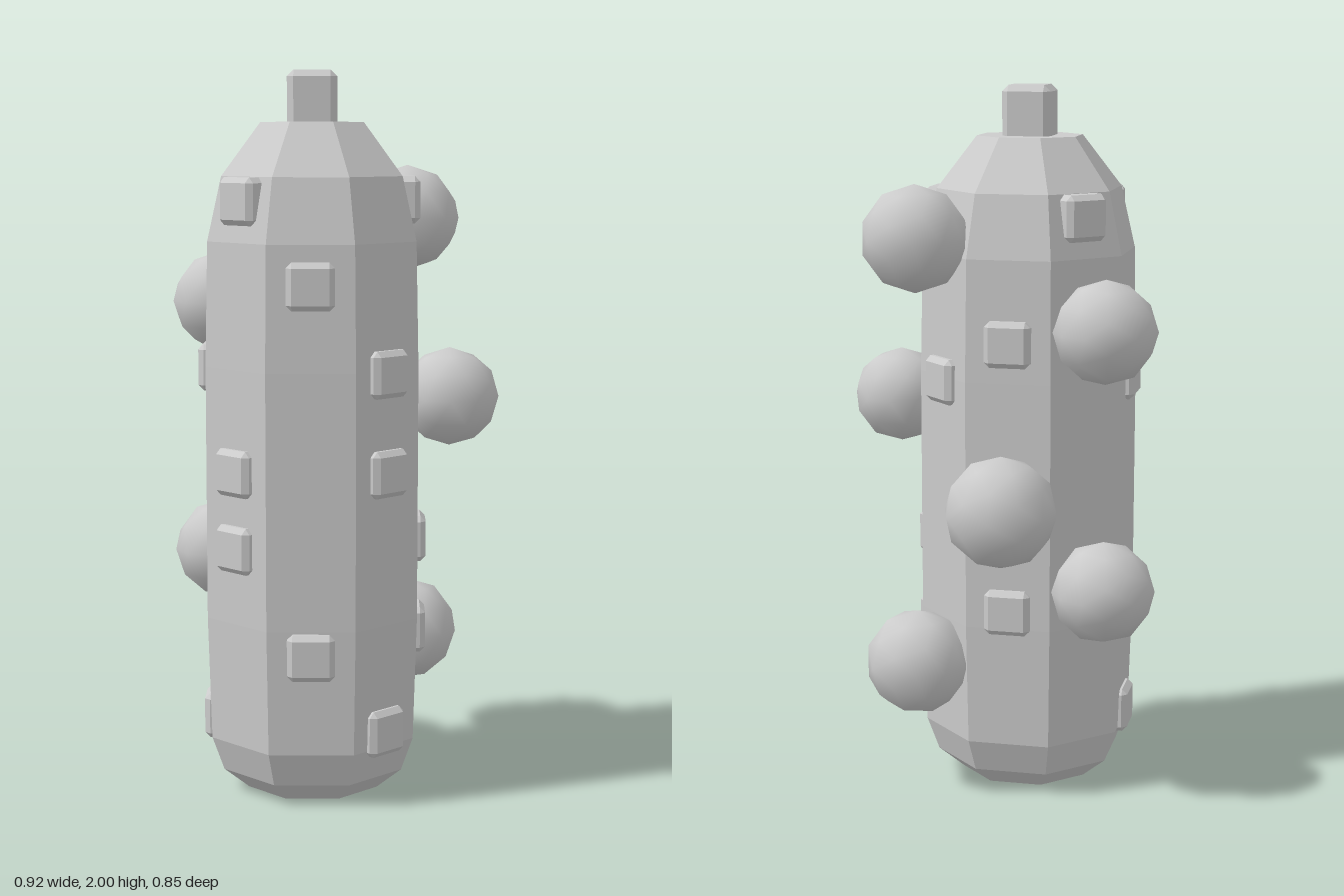
import * as THREE from 'three';
import { ConvexGeometry } from 'three/addons/geometries/ConvexGeometry.js';

const CX = -0.055, CZ = 0.108; // axis of the body

// box with single flat chamfers on every edge
function chamferBox(w, h, d, c) {
  const pts = [];
  for (const x of [-1, 1]) for (const y of [-1, 1]) for (const z of [-1, 1]) {
    const a = x * w / 2, b = y * h / 2, e = z * d / 2;
    pts.push(
      new THREE.Vector3(a, b - y * c, e - z * c),
      new THREE.Vector3(a - x * c, b, e - z * c),
      new THREE.Vector3(a - x * c, b - y * c, e));
  }
  return new ConvexGeometry(pts);
}

export function createModel() {
  const group = new THREE.Group();
  const flat = new THREE.MeshStandardMaterial({ color: 0xcccccc, flatShading: true });
  const smooth = new THREE.MeshStandardMaterial({ color: 0xcccccc });

  const add = (name, geometry, material, x, y, z, turn = 0) => {
    const mesh = new THREE.Mesh(geometry, material);
    mesh.name = name;
    mesh.position.set(x, y, z);
    mesh.rotation.y = turn;
    group.add(mesh);
  };

  // eight-sided capsule body: [distance to flat side, height]
  const profile = [
    [0, 0], [0.18, 0], [0.248, 0.06], [0.28, 0.155], [0.29, 0.5],
    [0.29, 1.2], [0.283, 1.54], [0.245, 1.715], [0.14, 1.86], [0, 1.86],
  ].map(([r, y]) => new THREE.Vector2(r / Math.cos(Math.PI / 8), y));
  add('body', new THREE.LatheGeometry(profile, 8, Math.PI / 8), flat, CX, 0, CZ);

  // knob on top
  add('topKnob', chamferBox(0.137, 0.16, 0.137, 0.018), flat, CX, 1.92, CZ);

  // studs on each side; side 0 faces +z and the sides step by 45 degrees towards +x
  const studs = [
    [0.43, 1.43],        // front
    [0.2, 0.92, 1.19],   // front left
    [0.45, 0.71, 1.65],  // left
    [1.19],              // back left
    [0.55, 1.31],        // back
    [1.65],              // back right
    [0.2, 1.19],         // right
    [0.71, 0.92, 1.65],  // front right
  ];
  const studGeometry = chamferBox(0.13, 0.128, 0.07, 0.015);
  studs.forEach((heights, side) => {
    const a = side * Math.PI / 4;
    for (const y of heights) {
      const reach = (y > 1.6 ? 0.295 : y < 0.3 ? 0.305 : 0.315) - 0.035;
      add('stud', studGeometry, flat, CX + Math.sin(a) * reach, y, CZ + Math.cos(a) * reach, a);
    }
  });

  // round balls attached to the left and back: [x, y, z, radius]
  const balls = [
    [0.325, 1.105, 0.108, 0.137],
    [0.212, 1.59, -0.155, 0.15],
    [0.212, 0.38, -0.155, 0.15],
    [-0.055, 0.86, -0.27, 0.157],
    [-0.322, 1.35, -0.16, 0.144],
    [-0.322, 0.62, -0.16, 0.144],
  ];
  for (const [x, y, z, r] of balls) {
    add('ball', new THREE.IcosahedronGeometry(r, 1), smooth, x, y, z, Math.atan2(x - CX, z - CZ));
  }

  return group;
}
